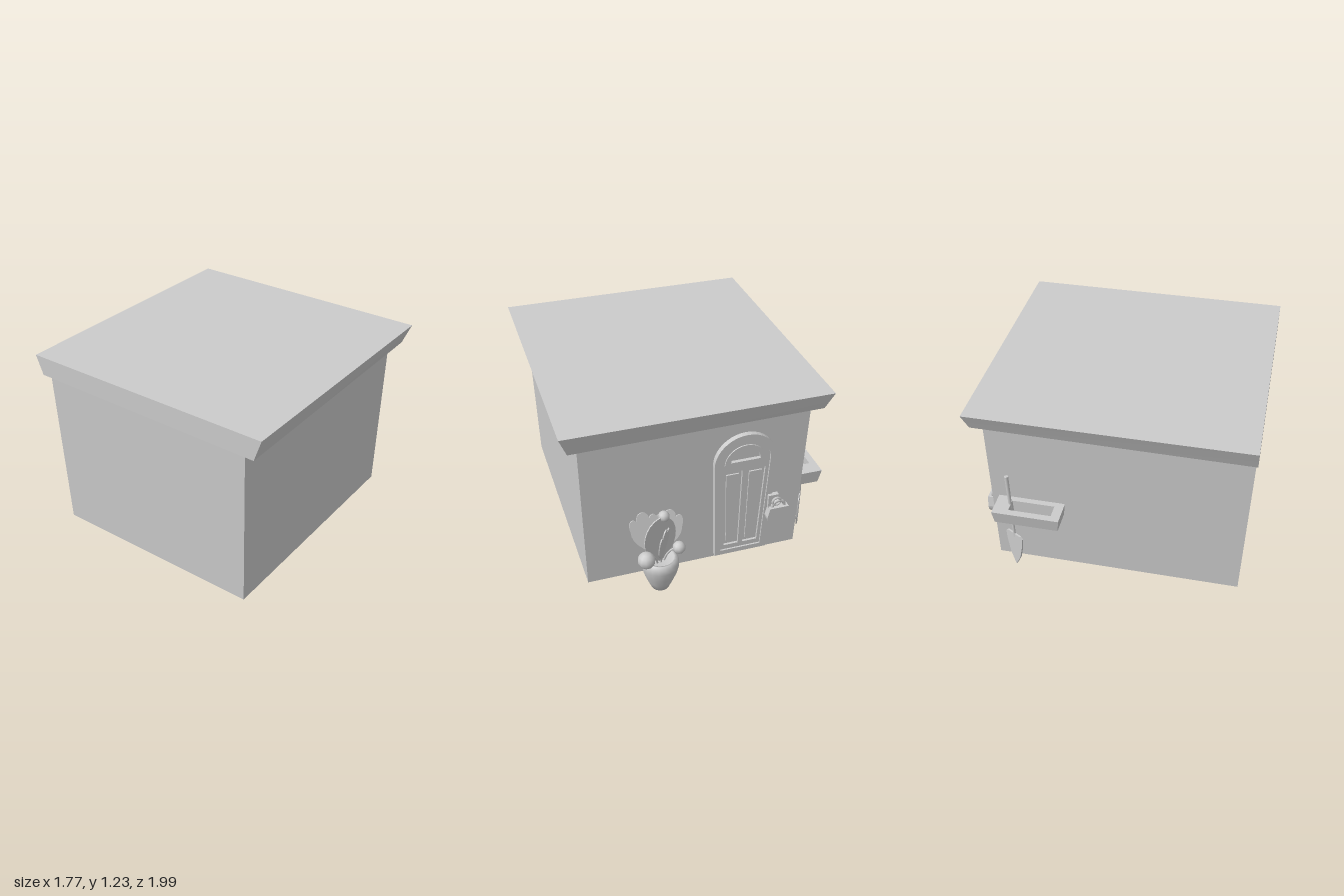
import * as THREE from 'three';

const mat = new THREE.MeshStandardMaterial({ color: 0xcccccc, side: THREE.DoubleSide });
const V = (x, y, z) => new THREE.Vector3(x, y, z);

function add(parent, name, geometry, x = 0, y = 0, z = 0) {
  const mesh = new THREE.Mesh(geometry, mat);
  mesh.name = name;
  mesh.position.set(x, y, z);
  parent.add(mesh);
  return mesh;
}

const extrude = (shape, depth) =>
  new THREE.ExtrudeGeometry(shape, { depth, bevelEnabled: false, curveSegments: 10 });
const poly = (...pts) => new THREE.Shape(pts.map(p => new THREE.Vector2(...p)));

// Box whose corners are placed by a rule on their signs
function cornerBox(rule) {
  const g = new THREE.BoxGeometry(2, 2, 2);
  const p = g.attributes.position;
  for (let i = 0; i < p.count; i++) p.setXYZ(i, ...rule(p.getX(i) > 0, p.getY(i) > 0, p.getZ(i) > 0));
  g.computeVertexNormals();
  return g;
}

// Round-headed door outline that widens towards the top
function arch(bottom, top, y0, spring) {
  const s = new THREE.Shape();
  s.moveTo(-bottom, y0);
  s.lineTo(bottom, y0);
  s.lineTo(top, spring);
  s.absarc(0, spring, top, 0, Math.PI);
  s.closePath();
  return s;
}

function halfDisc(r, y) {
  const s = new THREE.Shape();
  s.moveTo(-r, y);
  s.lineTo(r, y);
  s.absarc(0, y, r, 0, Math.PI);
  return s;
}

function ring(outer, inner) {
  outer.holes.push(inner);
  return outer;
}

// Thin rod between two points
function rod(parent, name, a, b, r0, r1) {
  const m = add(parent, name, new THREE.CylinderGeometry(r1, r0, a.distanceTo(b), 8));
  m.position.copy(a).lerp(b, 0.5);
  m.quaternion.setFromUnitVectors(V(0, 1, 0), b.clone().sub(a).normalize());
}

function buildHouse(root) {
  // Four leaning walls, open above and below
  const walls = cornerBox((px, py, pz) => [
    px ? (py ? 0.77 : 0.745) : (py ? -0.73 : -0.705),
    py ? 1.11 : 0,
    pz ? (py ? 0.99 : 0.96) : (py ? -0.69 : -0.665)]);
  const idx = Array.from(walls.index.array);
  walls.setIndex([...idx.slice(0, 12), ...idx.slice(24)]);
  add(root, 'walls', walls);

  // Slab roof with flared edges and a slightly crooked underside
  add(root, 'roof', cornerBox((px, py, pz) => [
    px ? (py ? 0.885 : 0.835) : (py ? -0.84 : -0.79),
    py ? 1.225 : 1.11 - (px ? 0.015 : 0) - (pz ? 0.013 : 0),
    pz ? 1 : (py ? -0.78 : -0.75)]));
}

function buildDoor(root) {
  const door = new THREE.Group();
  door.name = 'door';
  door.position.set(-0.3, 0, -0.664);
  door.rotation.set(-0.023, Math.PI, 0);
  root.add(door);

  add(door, 'doorFrame', extrude(ring(arch(0.18, 0.21, 0.03, 0.78), arch(0.14, 0.168, 0.065, 0.78)), 0.035));
  add(door, 'doorBacking', extrude(arch(0.15, 0.18, 0.04, 0.78), 0.008));

  // Rails and stiles around two tall panels and a half-round light
  const leaf = arch(0.14, 0.168, 0.065, 0.78);
  for (const s of [-1, 1]) {
    leaf.holes.push(poly([s * 0.015, 0.1], [s * 0.118, 0.1], [s * 0.142, 0.71], [s * 0.015, 0.71]));
    add(door, 'doorPanel', extrude(
      poly([s * 0.035, 0.125], [s * 0.1, 0.125], [s * 0.122, 0.685], [s * 0.035, 0.685]), 0.018));
  }
  leaf.holes.push(halfDisc(0.14, 0.77));
  add(door, 'doorLeaf', extrude(leaf, 0.024));
  add(door, 'archLightTrim', extrude(ring(halfDisc(0.14, 0.77), halfDisc(0.1, 0.79)), 0.032));

  // Hasp and padlock hanging at the edge
  add(door, 'hasp', new THREE.BoxGeometry(0.07, 0.1, 0.03), 0.205, 0.43, 0.04);
  add(door, 'haspLoop', new THREE.TorusGeometry(0.028, 0.009, 6, 14), 0.225, 0.43, 0.062);
  const body = new THREE.Shape();
  body.moveTo(0.065, 0.07);
  body.lineTo(-0.065, 0.07);
  body.lineTo(-0.08, 0);
  body.absarc(0, 0, 0.08, Math.PI, Math.PI * 2);
  add(door, 'padlockBody', extrude(body, 0.05), 0.24, 0.32, 0.035);
  add(door, 'padlockShackle', new THREE.TorusGeometry(0.042, 0.012, 8, 14, Math.PI), 0.24, 0.39, 0.06);
}

function buildRack(root) {
  // Wall tray with a long slot, narrowing downwards
  const tray = poly([-0.89, 0.19], [-0.7, 0.19], [-0.7, 0.63], [-0.89, 0.63]);
  tray.holes.push(poly([-0.845, 0.25], [-0.755, 0.25], [-0.755, 0.53], [-0.845, 0.53]));
  const g = extrude(tray, 0.095).rotateX(-Math.PI / 2);
  const p = g.attributes.position;
  for (let i = 0; i < p.count; i++) {
    if (p.getY(i) > 0.05) continue;
    if (p.getX(i) < -0.85) p.setX(i, -0.872);
    p.setZ(i, -0.41 + (p.getZ(i) + 0.41) * 0.95);
  }
  g.computeVertexNormals();
  add(root, 'tray', g, 0, 0.43, 0);

  // Trowel hanging through the tray
  rod(root, 'trowelHandle', V(-0.797, 0.25, -0.52), V(-0.772, 0.74, -0.55), 0.009, 0.014);
  const blade = extrude(poly([0, 0], [0.045, 0.09], [0.068, 0.19], [0.075, 0.265], [0.055, 0.28],
    [-0.055, 0.28], [-0.075, 0.265], [-0.068, 0.19], [-0.045, 0.09]), 0.012);
  blade.translate(0, 0, -0.006);
  add(root, 'trowelBlade', blade, -0.798, 0, -0.52).rotation.y = Math.PI / 3;
}

// Leaf from base to tip, flat along the "across" direction
function leaf(parent, base, tip, width, across, scalloped) {
  const s = new THREE.Shape();
  const len = base.distanceTo(tip), w = width / 2;
  s.moveTo(0, 0);
  if (scalloped) {
    s.bezierCurveTo(w * 0.2, len * 0.3, w * 1.1, len * 0.35, w, len * 0.65);
    s.bezierCurveTo(w * 1.1, len * 0.9, w * 0.7, len * 0.95, w * 0.45, len * 0.85);
    s.bezierCurveTo(w * 0.4, len * 1.05, -w * 0.4, len * 1.05, -w * 0.45, len * 0.85);
    s.bezierCurveTo(-w * 0.7, len * 0.95, -w * 1.1, len * 0.9, -w, len * 0.65);
    s.bezierCurveTo(-w * 1.1, len * 0.35, -w * 0.2, len * 0.3, 0, 0);
  } else {
    s.bezierCurveTo(w * 1.4, len * 0.2, w * 1.3, len * 0.95, 0, len);
    s.bezierCurveTo(-w * 1.3, len * 0.95, -w * 1.4, len * 0.2, 0, 0);
  }
  const m = add(parent, 'leaf', extrude(s, 0.008));
  const up = tip.clone().sub(base).normalize();
  const normal = across.clone().cross(up).normalize();
  const side = up.clone().cross(normal);
  m.quaternion.setFromRotationMatrix(new THREE.Matrix4().makeBasis(side, up, normal));
  m.position.copy(base);
}

function buildPlant(root) {
  const plant = new THREE.Group();
  plant.name = 'pottedPlant';
  plant.position.set(0.3, 0, -0.82);
  root.add(plant);

  const profile = [[0, 0], [0.06, 0], [0.085, 0.06], [0.108, 0.12], [0.122, 0.18], [0.12, 0.215],
    [0.105, 0.24], [0.092, 0.238], [0.09, 0.215], [0, 0.215]].map(q => new THREE.Vector2(...q));
  add(plant, 'pot', new THREE.LatheGeometry(profile, 18));

  leaf(plant, V(0.04, 0.21, 0.03), V(0.09, 0.53, 0.11), 0.19, V(1, 0, 0), true);
  leaf(plant, V(-0.04, 0.21, 0.03), V(-0.1, 0.52, 0.1), 0.18, V(1, 0, 0.1), true);
  leaf(plant, V(0, 0.21, 0.02), V(0, 0.47, 0.035), 0.15, V(1, 0, 0), false);
  leaf(plant, V(0, 0.21, -0.01), V(0, 0.56, -0.01), 0.23, V(1, 0, -0.3), false);
  leaf(plant, V(0, 0.21, -0.03), V(-0.01, 0.53, -0.1), 0.14, V(0.6, 0, -0.7), true);

  // Buds on bent stems
  for (const [x, y, z, r] of [[0.125, 0.345, -0.122, 0.056], [-0.03, 0.55, 0.015, 0.037], [-0.11, 0.33, -0.05, 0.042]]) {
    const curve = new THREE.QuadraticBezierCurve3(V(x * 0.2, 0.21, z * 0.2), V(x * 0.4, y * 0.95, z * 0.4), V(x, y, z));
    add(plant, 'stem', new THREE.TubeGeometry(curve, 8, 0.007, 6));
    add(plant, 'bud', new THREE.SphereGeometry(r, 10, 7), x, y, z);
  }
}

export function createModel() {
  const root = new THREE.Group();
  root.name = 'shed';
  buildHouse(root);
  buildDoor(root);
  buildRack(root);
  buildPlant(root);
  return root;
}
